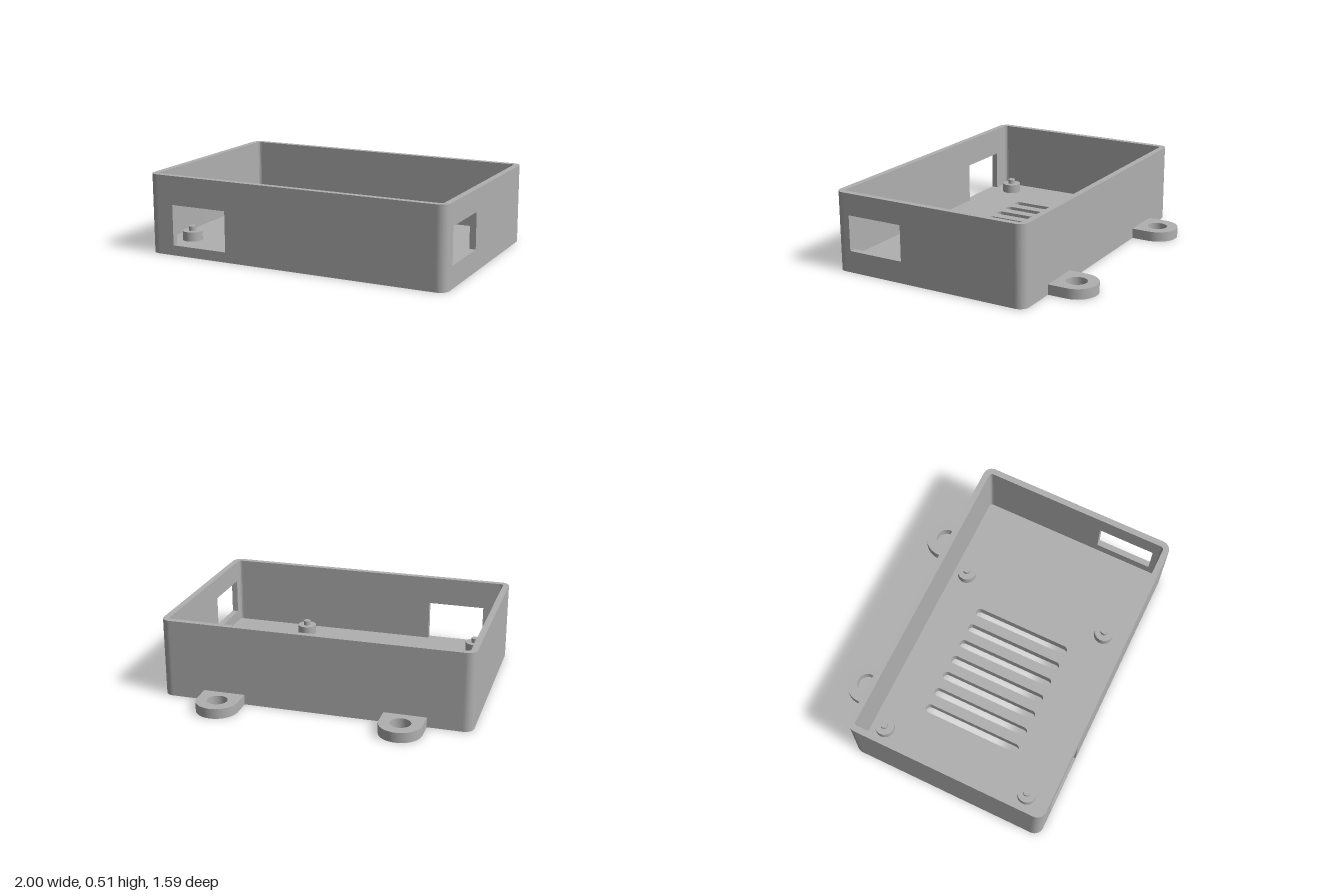
import * as THREE from 'three';
import { toCreasedNormals } from 'three/addons/utils/BufferGeometryUtils.js';

const X = 1, BACK = -0.54, FRONT = 0.79, H = 0.51; // outer extents
const WALL = 0.04, R = 0.06, FLOOR = 0.065;

export function createModel() {
  const model = new THREE.Group();
  model.name = 'enclosure';
  const grey = new THREE.MeshStandardMaterial({ color: 0xb0b0b0 });
  grey.name = 'grey plastic';

  const add = (name, geometry, x = 0, y = 0, z = 0) => {
    const mesh = new THREE.Mesh(geometry, grey);
    mesh.name = name;
    mesh.position.set(x, y, z);
    model.add(mesh);
    return mesh;
  };
  const extrude = (shape, depth) => toCreasedNormals(
    new THREE.ExtrudeGeometry(shape, { depth, bevelEnabled: false, curveSegments: 16 }), 0.6);
  // Plan shapes are drawn with y = -z and extruded upwards
  const slab = (shape, height) => extrude(shape, height).rotateX(-Math.PI / 2);
  const rect = (P, x0, y0, x1, y1) => new P([
    [x0, y0], [x1, y0], [x1, y1], [x0, y1]].map(p => new THREE.Vector2(...p)));

  // Floor with seven round-ended vent slots
  const r = R - WALL, ix = X - WALL, zb = BACK + WALL, zf = FRONT - WALL;
  const floor = new THREE.Shape();
  floor.absarc(ix - r, -zb - r, r, 0, Math.PI / 2);
  floor.absarc(-ix + r, -zb - r, r, Math.PI / 2, Math.PI);
  floor.absarc(-ix + r, -zf + r, r, Math.PI, Math.PI * 1.5);
  floor.absarc(ix - r, -zf + r, r, Math.PI * 1.5, Math.PI * 2);
  floor.closePath();
  const slotR = 0.028;
  for (let i = 0; i < 7; i++) {
    const x = -0.56 + i * 0.125, slot = new THREE.Path();
    slot.absarc(x, 0.235 - slotR, slotR, 0, Math.PI);
    slot.absarc(x, -0.435 + slotR, slotR, Math.PI, Math.PI * 2);
    slot.closePath();
    floor.holes.push(slot);
  }
  add('floor', slab(floor, FLOOR));

  // Straight walls, with a port opening in the front and in the left wall
  const wall = (u0, u1, port) => {
    const shape = rect(THREE.Shape, u0, 0, u1, H);
    if (port) shape.holes.push(rect(THREE.Path, ...port));
    return extrude(shape, WALL);
  };
  add('frontWall', wall(-X + R, X - R, [-0.83, 0.065, -0.45, 0.325]), 0, 0, FRONT - WALL);
  add('backWall', wall(-X + R, X - R), 0, 0, BACK);
  const side = port => wall(-FRONT + R, -BACK - R, port).rotateY(Math.PI / 2);
  add('leftWall', side([-0.69, 0.14, -0.31, 0.37]), X - WALL);
  add('rightWall', side(), -X);

  // Rounded corner posts
  const corner = new THREE.Shape();
  corner.absarc(0, 0, R, 0, Math.PI / 2);
  corner.absarc(0, 0, r, Math.PI / 2, 0, true);
  corner.closePath();
  [[1, BACK + R], [-1, BACK + R], [-1, FRONT - R], [1, FRONT - R]].forEach(([s, z], i) => {
    add('cornerPost', slab(corner, H), s * (X - R), 0, z).rotation.y = i * Math.PI / 2;
  });

  // Board standoffs with locating pins
  for (const x of [-0.805, 0.403]) for (const z of [-0.41, 0.61]) {
    add('standoff', new THREE.CylinderGeometry(0.0625, 0.0625, 0.065, 32), x, 0.0925, z);
    add('standoffPin', new THREE.CylinderGeometry(0.024, 0.024, 0.035, 24), x, 0.1375, z);
  }

  // Rear mounting ears
  const ear = new THREE.Shape();
  ear.moveTo(-0.135, 0);
  ear.lineTo(0.135, 0);
  ear.absarc(0, 0.12, 0.135, 0, Math.PI);
  ear.closePath();
  ear.holes.push(new THREE.Path().absarc(0, 0.12, 0.065, 0, Math.PI * 2, true));
  for (const x of [-0.585, 0.585]) add('mountingEar', slab(ear, 0.065), x, 0, BACK);

  return model;
}
